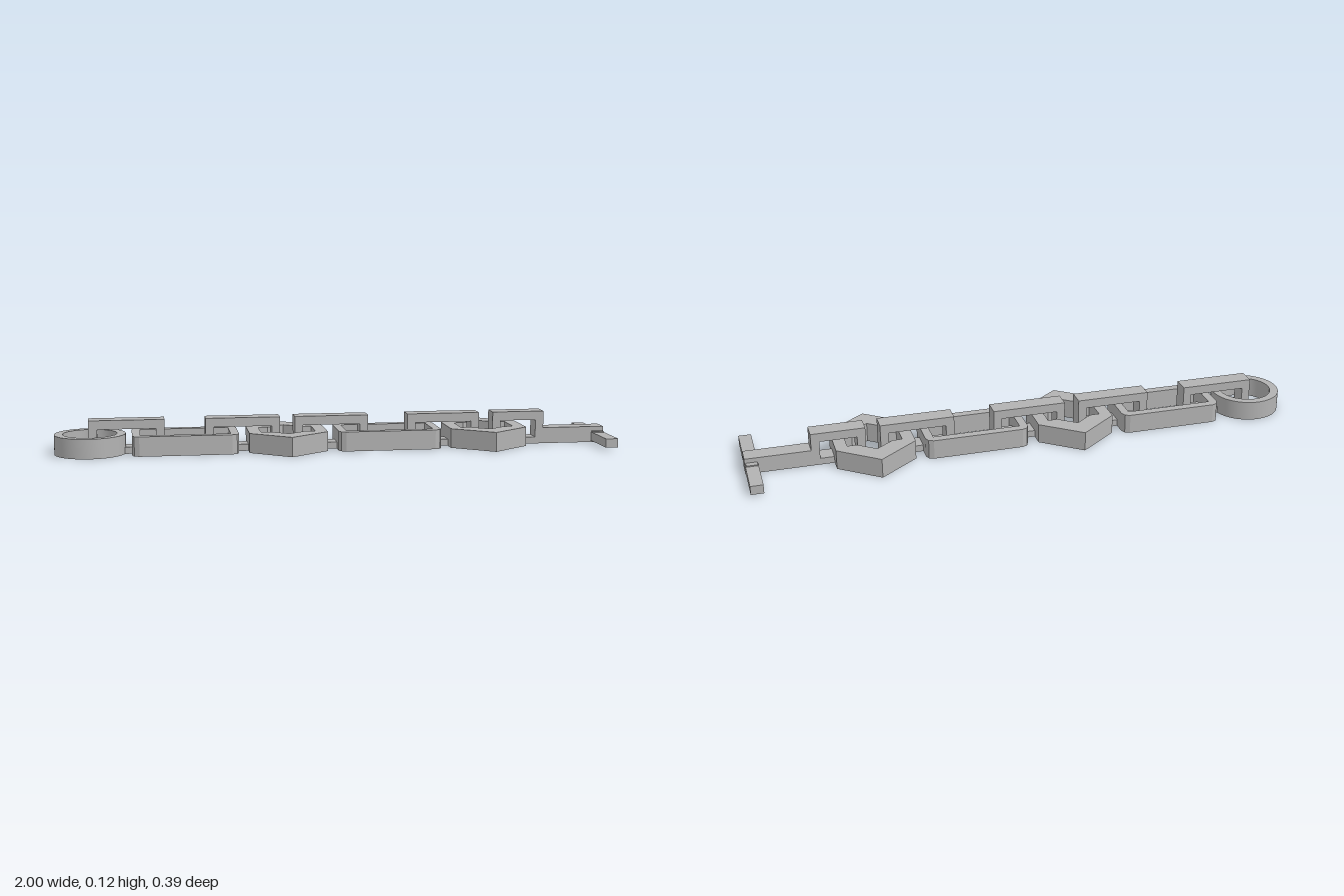
import * as THREE from 'three';
import { toCreasedNormals } from 'three/addons/utils/BufferGeometryUtils.js';

const steel = new THREE.MeshStandardMaterial({ color: 0xb2b2b2 });
steel.name = 'steel grey';

const FLAT_HEIGHT = 0.07; // height of the links that lie flat
const BAR_WIDTH = 0.064; // width of the upright links

const points = (list) => list.map(([x, y]) => new THREE.Vector2(x, y));

// Rectangle outline with cut corners
function rectangle(halfX, halfY, cut = 0) {
  const x = halfX, y = halfY, c = cut;
  if (!c) return points([[-x, -y], [x, -y], [x, y], [-x, y]]);
  const k = c * 0.3;
  return points([
    [-x + c, -y], [x - c, -y], [x - k, -y + k], [x, -y + c],
    [x, y - c], [x - k, y - k], [x - c, y], [-x + c, y],
    [-x + k, y - k], [-x, y - c], [-x, -y + c], [-x + k, -y + k],
  ]);
}

// Plate with one hole, cut from an outline
function plate(outline, hole, depth) {
  const shape = new THREE.Shape(outline);
  shape.holes.push(new THREE.Path(hole));
  return new THREE.ExtrudeGeometry(shape, { depth, bevelEnabled: false });
}

function add(group, name, geometry, x = 0, y = 0, z = 0) {
  const mesh = new THREE.Mesh(geometry, steel);
  mesh.name = name;
  mesh.position.set(x, y, z);
  group.add(mesh);
}

export function createModel() {
  const group = new THREE.Group();
  group.name = 'chainBracelet';

  // Clasp ring
  const profile = points([[0.095, 0], [0.125, 0], [0.125, FLAT_HEIGHT], [0.095, FLAT_HEIGHT], [0.095, 0]]);
  add(group, 'claspRing', toCreasedNormals(new THREE.LatheGeometry(profile, 64), 0.6), -0.875);

  // Flat rectangular links
  const rectGeometry = plate(rectangle(0.187, 0.1, 0.025), rectangle(0.158, 0.069), FLAT_HEIGHT).rotateX(-Math.PI / 2);
  for (const x of [-0.542, 0.188]) add(group, 'rectangularLink', rectGeometry, x);

  // Flat hexagonal links with a stepped opening
  const hexOutline = points([
    [-0.14, -0.08], [0, -0.188], [0.14, -0.08], [0.14, 0.08], [0, 0.188], [-0.14, 0.08],
  ]);
  const hexHole = points([
    [-0.097, -0.055], [-0.063, -0.055], [0, -0.103], [0.063, -0.055], [0.097, -0.055],
    [0.097, 0.055], [0.063, 0.055], [0, 0.103], [-0.063, 0.055], [-0.097, 0.055],
  ]);
  const hexGeometry = plate(hexOutline, hexHole, FLAT_HEIGHT).rotateX(-Math.PI / 2);
  for (const x of [-0.178, 0.551]) add(group, 'hexagonalLink', hexGeometry, x);

  // Upright connecting links
  const uprightHole = (left, right) => points([[left, 0.024], [right, 0.024], [right, 0.088], [left, 0.088]]);
  const uprightOutline = points([[-0.133, 0], [0.133, 0], [0.133, 0.12], [-0.133, 0.12]]);
  const uprightGeometry = plate(uprightOutline, uprightHole(-0.103, 0.103), BAR_WIDTH);
  for (const x of [-0.747, -0.337, -0.018, 0.393]) {
    add(group, 'uprightLink', uprightGeometry, x, 0, -BAR_WIDTH / 2);
  }

  // Last upright link, drawn out into the toggle shaft
  const shaftOutline = points([[0.578, 0], [1, 0], [1, 0.058], [0.77, 0.058], [0.77, 0.12], [0.578, 0.12]]);
  add(group, 'toggleShaft', plate(shaftOutline, uprightHole(0.608, 0.74), BAR_WIDTH), 0, 0, -BAR_WIDTH / 2);

  // Toggle crossbar and the low collar where the shaft meets it
  add(group, 'toggleBar', new THREE.BoxGeometry(0.045, 0.032, 0.392), 0.9765, 0.022);
  add(group, 'toggleCollar', new THREE.BoxGeometry(0.04, 0.008, 0.108), 0.9765, 0.038);

  return group;
}
